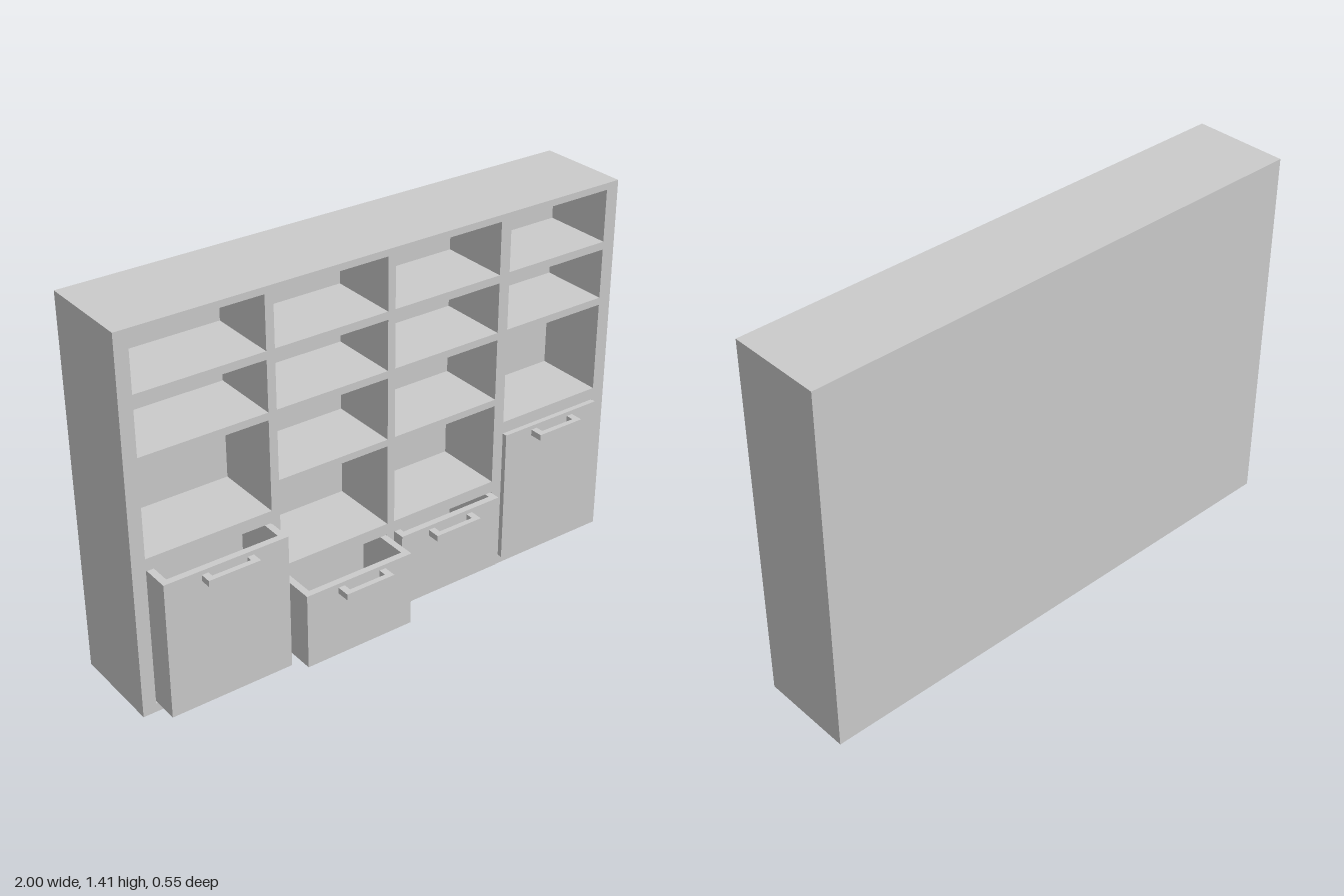
import * as THREE from 'three';

const material = new THREE.MeshStandardMaterial({ color: 0xcccccc, flatShading: true });
const FRONT = 0.084, BACK = -0.274, CELL_BACK = -0.186;

// Box given by its two opposite corners
function box(name, [x0, y0, z0], [x1, y1, z1]) {
  const mesh = new THREE.Mesh(new THREE.BoxGeometry(x1 - x0, y1 - y0, z1 - z0), material);
  mesh.position.set((x0 + x1) / 2, (y0 + y1) / 2, (z0 + z1) / 2);
  mesh.name = name;
  return mesh;
}

function rectangle(Type, x0, y0, x1, y1) {
  return new Type([[x0, y0], [x1, y0], [x1, y1], [x0, y1]].map(p => new THREE.Vector2(...p)));
}

// Open-topped drawer with a bracket handle
function createDrawer({ x0, x1, top, front, handleX, reach }) {
  const drawer = new THREE.Group();
  drawer.name = 'drawer';
  const y0 = 0.036, wall = 0.025, back = Math.max(front - 0.27, CELL_BACK + 0.002);
  drawer.add(
    box('drawerFront', [x0, y0, front - wall], [x1, top, front]),
    box('drawerBack', [x0, y0, back], [x1, top, back + wall]),
    box('drawerSideRight', [x0, y0, back + wall], [x0 + wall, top, front - wall]),
    box('drawerSideLeft', [x1 - wall, y0, back + wall], [x1, top, front - wall]),
    box('drawerFloor', [x0 + wall, y0, back + wall], [x1 - wall, y0 + wall, front - wall])
  );
  const h0 = handleX - 0.098, h1 = handleX + 0.098, hy1 = top - 0.016, hy0 = hy1 - 0.023;
  const tip = front + reach, bar = tip - 0.02;
  drawer.add(
    box('handleBar', [h0, hy0, bar], [h1, hy1, tip]),
    box('handleLegRight', [h0, hy0, front], [h0 + 0.025, hy1, bar]),
    box('handleLegLeft', [h1 - 0.025, hy0, front], [h1, hy1, bar])
  );
  return drawer;
}

export function createModel() {
  const model = new THREE.Group();
  model.name = 'shelfUnit';

  // Compartment layout: column widths and row heights, the last row holding a drawer
  const columns = [[-0.95, -0.474], [-0.442, 0], [0.03, 0.473], [0.516, 0.949]];
  const upperRows = [[1.19, 1.385], [0.972, 1.16]];
  const outerRows = [...upperRows, [0.604, 0.944], [0.034, 0.558]];
  const innerRows = [...upperRows, [0.71, 0.944], [0.372, 0.684], [0.034, 0.328]];

  // Frame with all compartments cut through, closed by a thick back
  const outline = rectangle(THREE.Shape, -1, 0, 1, 1.41);
  columns.forEach(([x0, x1], i) => {
    const rows = i === 0 || i === 3 ? outerRows : innerRows;
    for (const [y0, y1] of rows) outline.holes.push(rectangle(THREE.Path, x0, y0, x1, y1));
  });
  const frame = new THREE.Mesh(
    new THREE.ExtrudeGeometry(outline, { depth: FRONT - CELL_BACK, bevelEnabled: false }), material);
  frame.position.z = CELL_BACK;
  frame.name = 'shelfFrame';
  model.add(frame, box('backPanel', [-1, 0, BACK], [1, 1.41, CELL_BACK]));

  // Drawers, each pulled out by a different amount
  const drawers = [
    { x0: -0.945, x1: -0.476, top: 0.556, front: 0.182, handleX: -0.708, reach: 0.042 },
    { x0: -0.438, x1: -0.003, top: 0.326, front: 0.226, handleX: -0.212, reach: 0.05 },
    { x0: 0.034, x1: 0.471, top: 0.326, front: 0.126, handleX: 0.25, reach: 0.05 },
    { x0: 0.518, x1: 0.947, top: 0.556, front: 0.101, handleX: 0.736, reach: 0.05 }
  ];
  for (const d of drawers) model.add(createDrawer(d));
  return model;
}
